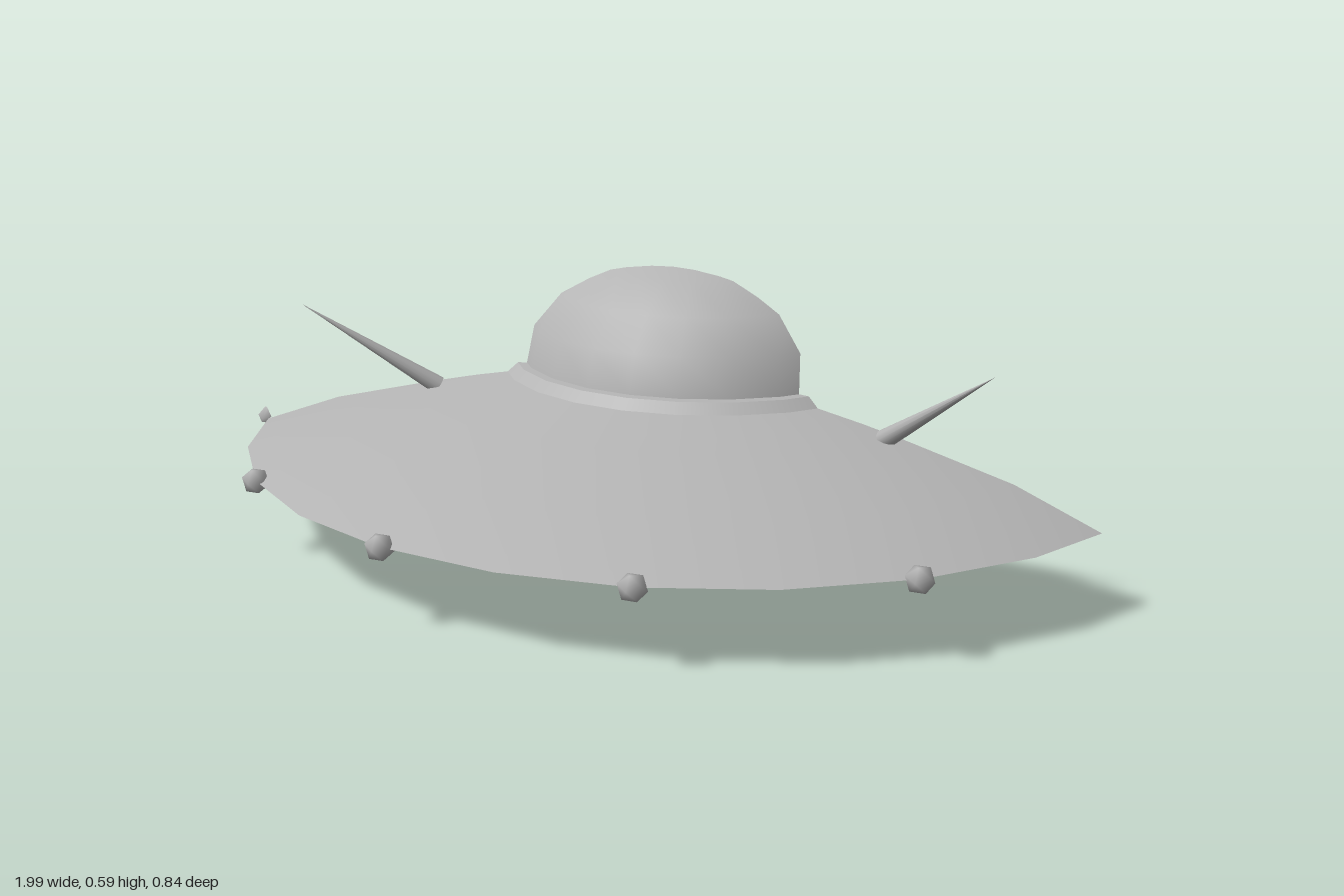
import * as THREE from 'three';

const CX = 0.015, CZ = -0.61, RIM = 1.03, RIM_Y = 0.17;

// Signed distance in front of the leaning rear cut.
const inFront = (p) => p.z + 0.26 + 0.275 * p.y - 0.012 * p.x;

// Keep the part of a geometry in front of the cut; collect the cut edges.
function sliced(geometry, edges) {
  const g = geometry.index ? geometry.toNonIndexed() : geometry;
  const P = g.attributes.position, N = g.attributes.normal;
  const pos = [], nor = [];
  for (let i = 0; i < P.count; i += 3) {
    const corners = [0, 1, 2].map((k) => ({
      p: new THREE.Vector3().fromBufferAttribute(P, i + k),
      n: new THREE.Vector3().fromBufferAttribute(N, i + k),
    }));
    const poly = [], cut = [];
    corners.forEach((a, k) => {
      const b = corners[(k + 1) % 3];
      const da = inFront(a.p), db = inFront(b.p);
      if (da >= 0) poly.push(a);
      if ((da >= 0) !== (db >= 0)) {
        const t = da / (da - db);
        const v = { p: a.p.clone().lerp(b.p, t), n: a.n.clone().lerp(b.n, t).normalize() };
        poly.push(v);
        cut.push(v.p);
      }
    });
    if (cut.length === 2) edges.push(cut);
    for (let k = 1; k + 1 < poly.length; k++) {
      for (const v of [poly[0], poly[k], poly[k + 1]]) {
        pos.push(...v.p.toArray());
        nor.push(...v.n.toArray());
      }
    }
  }
  const out = new THREE.BufferGeometry();
  out.setAttribute('position', new THREE.Float32BufferAttribute(pos, 3));
  out.setAttribute('normal', new THREE.Float32BufferAttribute(nor, 3));
  return out;
}

// Flat rear face: a fan from a centre point to every cut edge.
function capGeometry(edges, centre) {
  const pos = [];
  for (const [a, b] of edges) {
    const n = b.clone().sub(a).cross(centre.clone().sub(a));
    const tri = n.z < 0 ? [a, b, centre] : [b, a, centre];
    tri.forEach((v) => pos.push(...v.toArray()));
  }
  const g = new THREE.BufferGeometry();
  g.setAttribute('position', new THREE.Float32BufferAttribute(pos, 3));
  g.computeVertexNormals();
  return g;
}

export function createModel() {
  const model = new THREE.Group();
  const grey = new THREE.MeshStandardMaterial({ color: 0xb4b4b4 });
  grey.name = 'grey';

  const add = (name, geometry) => {
    const mesh = new THREE.Mesh(geometry, grey);
    mesh.name = name;
    model.add(mesh);
    return mesh;
  };
  const bodyEdges = [];
  const turned = (name, profile) => {
    const g = new THREE.LatheGeometry(profile.map(([r, y]) => new THREE.Vector2(r, y)), 24);
    g.translate(CX, 0, CZ);
    add(name, sliced(g, bodyEdges));
  };

  // Saucer body, turned profiles from bottom to top
  turned('lowerHull', [[0, -0.04], [0.35, 0.003], [0.61, 0.055], [0.85, 0.108], [RIM, RIM_Y]]);
  turned('upperHull', [[RIM, RIM_Y], [0.85, 0.24], [0.61, 0.303], [0.45, 0.341]]);
  turned('collarSide', [[0.45, 0.341], [0.428, 0.363]]);
  turned('collarTop', [[0.428, 0.363], [0.41, 0.365]]);
  const dome = [];
  for (let i = 0; i <= 5; i++) {
    const a = (i * Math.PI) / 10;
    dome.push([0.41 * Math.cos(a), 0.365 + 0.265 * Math.sin(a)]);
  }
  turned('dome', dome);

  // Flat rear face
  const centre = new THREE.Vector3(CX, 0.25, 0);
  centre.z = -inFront(centre);
  add('rearFace', capGeometry(bodyEdges, centre));

  // Rim lights; the last one is nearly all sliced away
  for (const deg of [-45, -15, 15, 45, -75]) {
    const a = THREE.MathUtils.degToRad(deg);
    const g = new THREE.IcosahedronGeometry(0.03, 0).rotateX(-Math.atan(2 / (1 + Math.sqrt(5))));
    g.setAttribute('normal', g.attributes.position.clone());
    g.normalizeNormals();
    g.translate(CX + RIM * Math.sin(a), RIM_Y, CZ + RIM * Math.cos(a) + (deg === -75 ? 0.005 : 0));
    const edges = [];
    add('rimLight', sliced(g, edges));
    if (edges.length) {
      const mid = new THREE.Vector3();
      edges.forEach(([p, q]) => mid.add(p).add(q));
      add('rimLightBack', capGeometry(edges, mid.divideScalar(edges.length * 2)));
    }
  }

  // Antenna spikes
  for (const side of [-1, 1]) {
    const base = new THREE.Vector3(CX + side * 0.52, 0.303, -0.312);
    const tip = new THREE.Vector3(CX + side * 0.778, 0.495, -0.162);
    const dir = tip.clone().sub(base);
    const spike = add('antenna', new THREE.ConeGeometry(0.021, dir.length(), 12));
    spike.position.copy(base).addScaledVector(dir, 0.5);
    spike.quaternion.setFromUnitVectors(new THREE.Vector3(0, 1, 0), dir.normalize());
  }
  return model;
}
